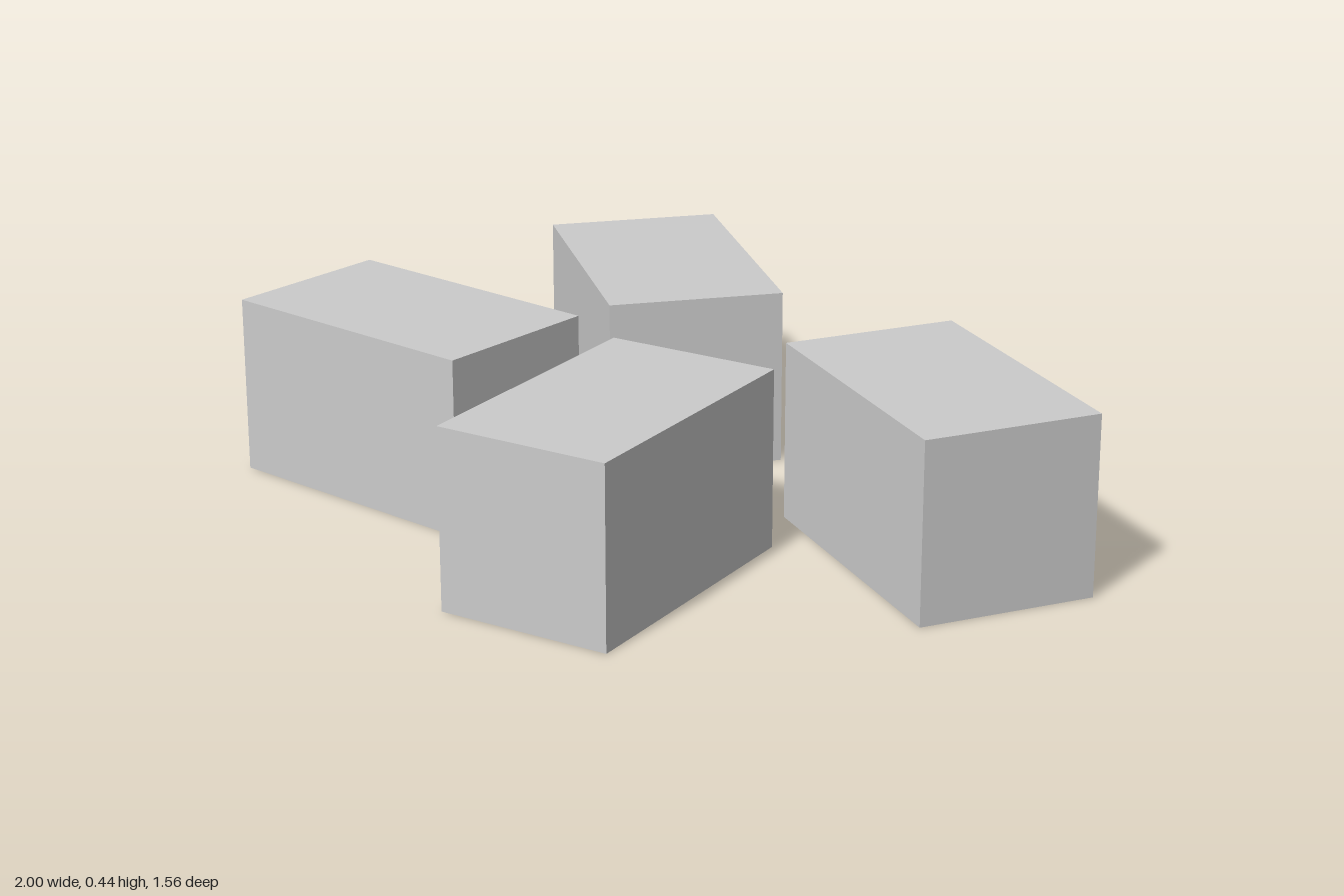
import * as THREE from 'three';

const LENGTH = 0.712, HEIGHT = 0.438, WIDTH = 0.435;

// Each block: centre on the ground and turn about the vertical axis in degrees
const blocks = [
  { name: 'backRightBlock', x: -0.516, z: -0.42, turn: -28.5 },
  { name: 'backLeftBlock', x: 0.592, z: -0.272, turn: -18.9 },
  { name: 'frontRightBlock', x: -0.617, z: 0.315, turn: 8.1 },
  { name: 'frontLeftBlock', x: 0.197, z: 0.373, turn: -73.4 },
];

export function createModel() {
  const model = new THREE.Group();
  model.name = 'scatteredBlocks';
  const geometry = new THREE.BoxGeometry(LENGTH, HEIGHT, WIDTH);
  const material = new THREE.MeshStandardMaterial({ color: 0xcccccc, flatShading: true });

  // Identical blocks lying loose on the ground
  for (const { name, x, z, turn } of blocks) {
    const block = new THREE.Mesh(geometry, material);
    block.name = name;
    block.position.set(x, HEIGHT / 2, z);
    block.rotation.y = THREE.MathUtils.degToRad(turn);
    model.add(block);
  }
  return model;
}
